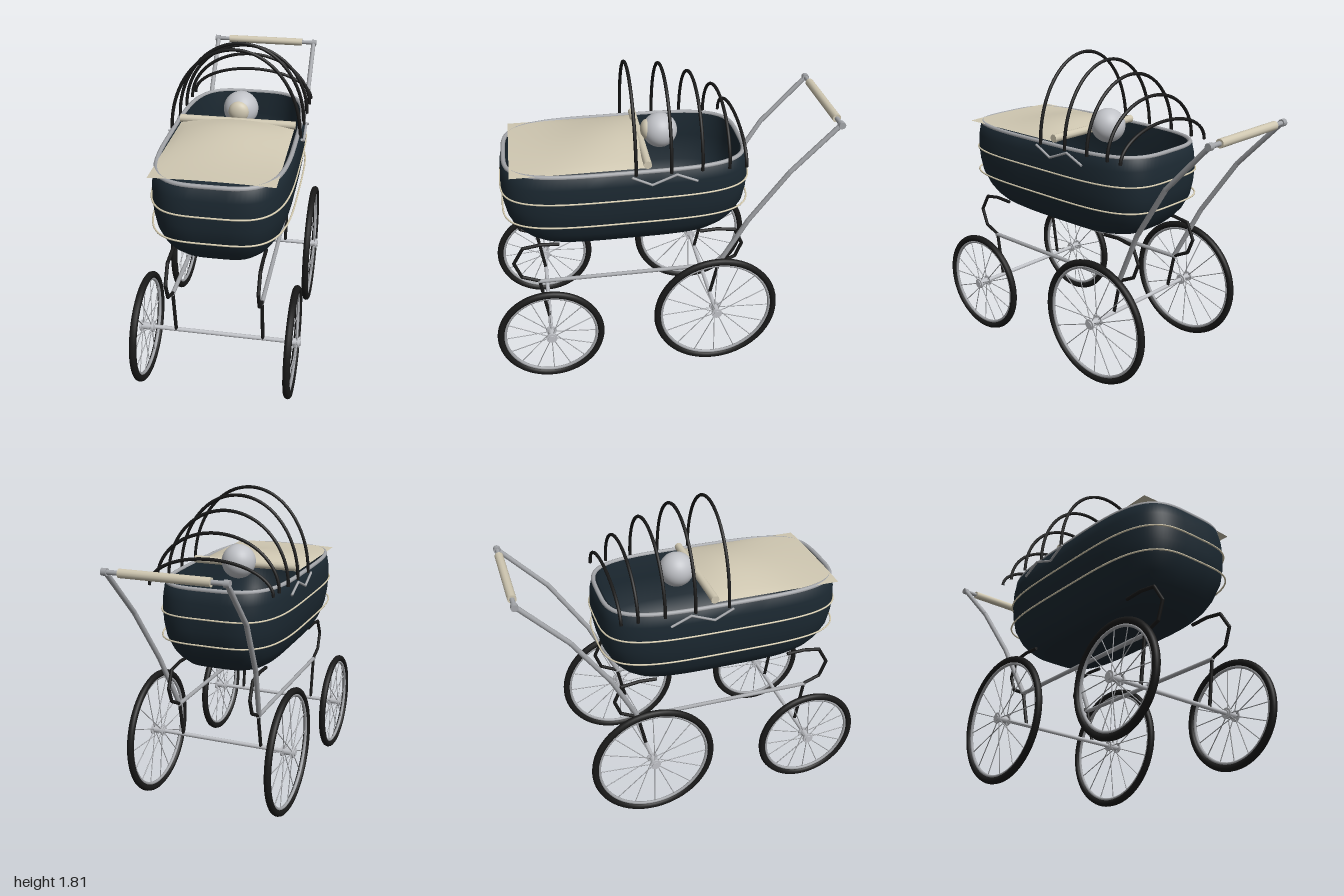
import * as THREE from 'three';

const mat = (name, color, side = THREE.FrontSide) => {
  const m = new THREE.MeshStandardMaterial({ color, side });
  m.name = name;
  return m;
};
const V = (x, y, z) => new THREE.Vector3(x, y, z);
const BODY_Z = 0.195; // middle of the tub

// Point on a rounded rectangle (superellipse) in plan
function planPoint(t, a, b, y, n) {
  const p = (c) => Math.sign(c) * Math.abs(c) ** (2 / n);
  return V(a * p(Math.cos(t)), y, BODY_Z + b * p(Math.sin(t)));
}

// Skin over rings of [y, halfWidth, halfLength]
function loft(rings, n, seg = 96) {
  const pos = [], idx = [];
  rings.forEach(([y, a, b], i) => {
    for (let j = 0; j < seg; j++) {
      pos.push(...planPoint((j / seg) * Math.PI * 2, a, b, y, n).toArray());
      if (i === rings.length - 1) continue;
      const k = (j + 1) % seg, p = i * seg, q = p + seg;
      idx.push(p + j, q + j, p + k, q + j, q + k, p + k);
    }
  });
  const g = new THREE.BufferGeometry();
  g.setAttribute('position', new THREE.Float32BufferAttribute(pos, 3));
  g.setIndex(idx);
  g.computeVertexNormals();
  return g;
}

// Closed tube following the plan outline
function planTube(y, a, b, n, r) {
  const pts = [];
  for (let j = 0; j < 64; j++) pts.push(planPoint((j / 64) * Math.PI * 2, a, b, y, n));
  return new THREE.TubeGeometry(new THREE.CatmullRomCurve3(pts, true), 128, r, 8, true);
}

function addMesh(parent, name, geometry, material, at) {
  const m = new THREE.Mesh(geometry, material);
  m.name = name;
  if (at) m.position.copy(at);
  parent.add(m);
  return m;
}

// Bent rod: straight cylinders with ball joints
function rod(parent, name, pts, r, material) {
  const g = new THREE.Group();
  g.name = name;
  parent.add(g);
  pts.forEach((p, i) => {
    if (i > 0 && i < pts.length - 1) addMesh(g, name + 'Joint', new THREE.SphereGeometry(r, 10, 8), material, p);
    if (i === 0) return;
    const d = p.clone().sub(pts[i - 1]);
    const m = addMesh(g, name + 'Length', new THREE.CylinderGeometry(r, r, d.length(), 12), material,
      p.clone().add(pts[i - 1]).multiplyScalar(0.5));
    m.quaternion.setFromUnitVectors(V(0, 1, 0), d.normalize());
  });
  return g;
}

export function createModel() {
  const model = new THREE.Group();
  model.name = 'babyCarriage';
  const navy = mat('navyBody', 0x1c2932);
  const black = mat('blackRubber', 0x191919);
  const steel = mat('steel', 0xa3a5a9);
  const silver = mat('paleSilver', 0xc0c2c7);
  const cream = mat('creamCloth', 0xd0c8b2, THREE.DoubleSide);
  const trim = mat('creamTrim', 0xd6ccb0);

  // Hollow tub: outside from the base up, over the edge, down to the inner floor
  addMesh(model, 'tub', loft([
    [0.826, 0.001, 0.001], [0.826, 0.225, 0.48], [0.85, 0.262, 0.555], [0.89, 0.3, 0.6],
    [0.94, 0.328, 0.643], [1.02, 0.355, 0.685], [1.1, 0.368, 0.7], [1.18, 0.373, 0.705],
    [1.26, 0.37, 0.7], [1.33, 0.36, 0.685], [1.33, 0.33, 0.655], [1.18, 0.343, 0.675],
    [1.02, 0.325, 0.655], [0.93, 0.28, 0.57], [0.89, 0.22, 0.48], [0.885, 0.001, 0.001],
  ], 3.8), navy);
  addMesh(model, 'tubRim', planTube(1.331, 0.35, 0.676, 3.8, 0.013), steel);
  for (const y of [1.175, 1.026])
    addMesh(model, 'tubStripe', planTube(y, 0.375, 0.707, 3.9, 0.005), trim);

  // Blanket: a sheet domed across and towards its upper edge
  const blanket = new THREE.PlaneGeometry(0.65, 0.76, 24, 32).rotateX(-Math.PI / 2);
  const bp = blanket.attributes.position;
  for (let i = 0; i < bp.count; i++) {
    const x = bp.getX(i), z = bp.getZ(i) + 0.46;
    const across = Math.max(0, Math.cos((x / 0.325) * Math.PI / 2)) ** 0.8;
    const d = (z - 0.26) / (z > 0.26 ? 0.3 : 0.22);
    bp.setXYZ(i, x, 1.34 + across * (0.006 + 0.053 * Math.exp(-d * d)), z);
  }
  blanket.computeVertexNormals();
  addMesh(model, 'blanket', blanket, cream);
  rod(model, 'blanketFold', [V(-0.33, 1.36, 0.097), V(0.33, 1.36, 0.097)], 0.023, cream);

  // Sleeping doll
  addMesh(model, 'dollHead', new THREE.SphereGeometry(0.1, 32, 20), silver, V(0, 1.397, -0.02));
  addMesh(model, 'dollFace', new THREE.SphereGeometry(0.06, 24, 16), cream, V(0, 1.405, 0.052))
    .scale.z = 0.67;

  // Bare hood hoops
  for (const [z, top] of [[0.166, 1.803], [-0.027, 1.78], [-0.198, 1.718], [-0.348, 1.618], [-0.442, 1.493]]) {
    const pts = [];
    for (let i = 0; i <= 24; i++) {
      const t = (i / 24) * Math.PI;
      pts.push(V(0.365 * Math.cos(t), 1.32 + (top - 1.32) * Math.sin(t), z));
    }
    addMesh(model, 'hoodHoop', new THREE.TubeGeometry(new THREE.CatmullRomCurve3(pts), 64, 0.0095, 8), black);
  }

  for (const s of [-1, 1]) {
    // Folding hood bracket
    rod(model, 'hoodBracket', [V(s * 0.377, 1.317, 0.19), V(s * 0.377, 1.262, 0.08),
      V(s * 0.377, 1.315, -0.055), V(s * 0.377, 1.265, -0.17)], 0.007, steel);

    // Side rail, springs and push handle arm
    const x = s * 0.247;
    rod(model, 'sideRail', [V(x, 0.587, 0.74), V(x, 0.587, -0.35)], 0.012, steel);
    rod(model, 'frontSpring', [V(x, 0.84, 0.6), V(x, 0.845, 0.71), V(x, 0.83, 0.81), V(x, 0.73, 0.868),
      V(x, 0.63, 0.83), V(x, 0.59, 0.73), V(x, 0.32, 0.69)], 0.01, black);
    rod(model, 'rearSpring', [V(x, 0.84, -0.22), V(x, 0.845, -0.32), V(x, 0.83, -0.43), V(x, 0.73, -0.475),
      V(x, 0.64, -0.44), V(x, 0.59, -0.34), V(x, 0.375, -0.294)], 0.01, black);
    rod(model, 'handleArm', [V(s * 0.25, 0.587, -0.335), V(s * 0.288, 0.915, -0.495),
      V(s * 0.318, 1.237, -0.71), V(s * 0.322, 1.513, -0.973)], 0.0145, steel);
    rod(model, 'handleEnd', [V(s * 0.31, 1.513, -0.975), V(s * 0.34, 1.513, -0.975)], 0.02, steel);
  }
  rod(model, 'handleBar', [V(-0.33, 1.513, -0.975), V(0.33, 1.513, -0.975)], 0.013, steel);
  rod(model, 'handleGrip', [V(-0.245, 1.513, -0.975), V(0.245, 1.513, -0.975)], 0.024, cream);

  // Axles and spoked wheels
  for (const [y, z, radius] of [[0.318, 0.688, 0.312], [0.375, -0.294, 0.372]]) {
    rod(model, 'axle', [V(-0.45, y, z), V(0.45, y, z)], 0.012, silver);
    for (const s of [-1, 1]) {
      const wheel = new THREE.Group();
      wheel.name = radius > 0.35 ? 'rearWheel' : 'frontWheel';
      wheel.position.set(s * 0.415, y, z);
      model.add(wheel);
      const ring = (r, t) => new THREE.TorusGeometry(r, t, 10, 64).rotateY(Math.PI / 2);
      addMesh(wheel, 'tyre', ring(radius - 0.02, 0.02), black);
      addMesh(wheel, 'wheelRim', ring(radius - 0.044, 0.009), steel);
      rod(wheel, 'hub', [V(-0.045, 0, 0), V(0.045, 0, 0)], 0.02, silver);
      for (const e of [-1, 1])
        rod(wheel, 'hubFlange', [V(e * 0.03, 0, 0), V(e * 0.039, 0, 0)], 0.032, silver);
      for (let i = 0; i < 16; i++) {
        const a = (i / 16) * Math.PI * 2, c = Math.cos(a), n = Math.sin(a), r = radius - 0.042;
        const side = i % 2 ? 0.024 : -0.024;
        rod(wheel, 'spoke', [V(side, 0.02 * c, 0.02 * n), V(0, r * c, r * n)], 0.0027, steel);
      }
    }
  }
  return model;
}
